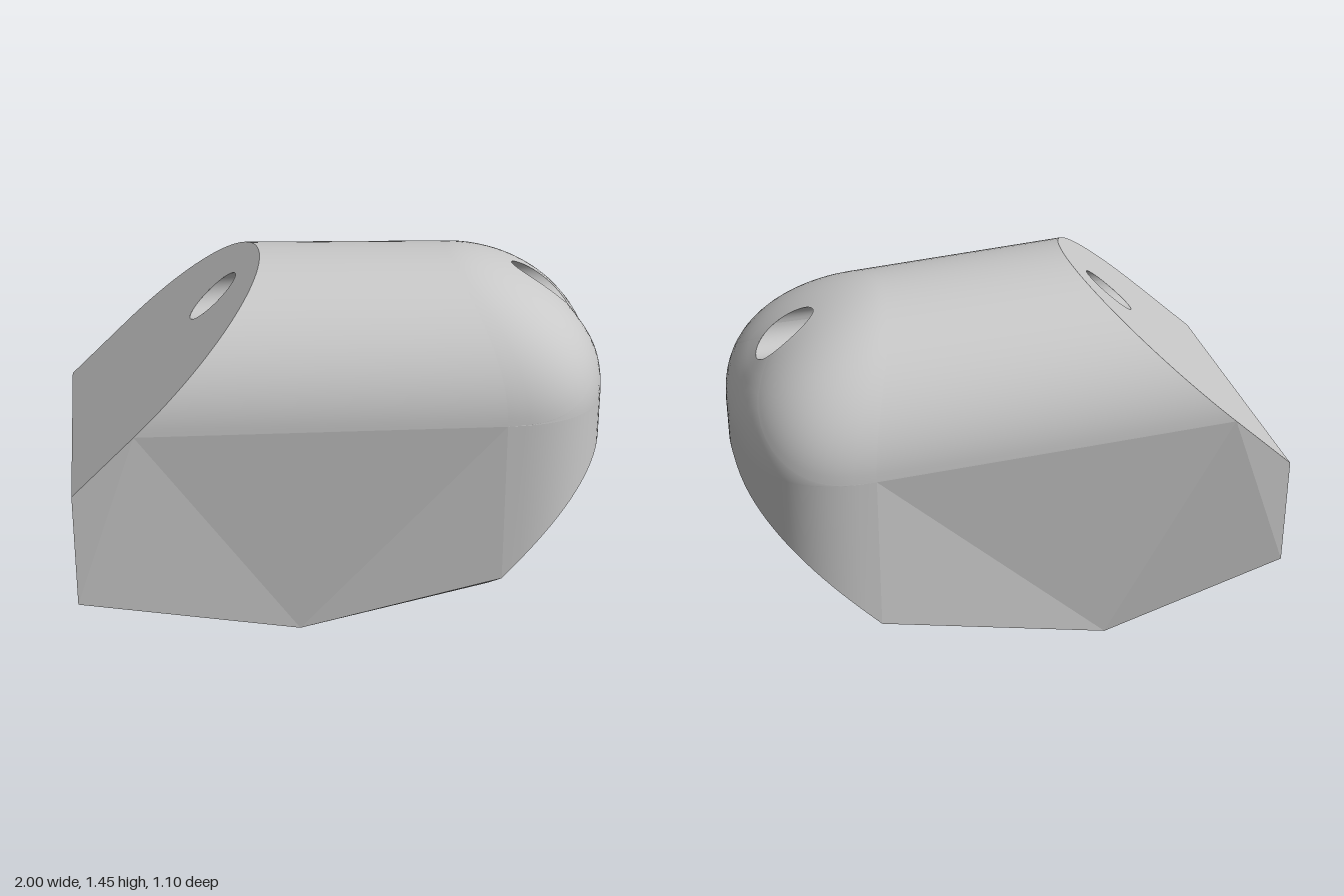
import * as THREE from 'three';

const ARCH = 48;
const SPRING = 0.94, HALF = 0.53, RISE = 0.49; // arch section where the nose begins
const BORES = [
  { name: 'upperBore', z: 0, y: 1.285, r: 0.083 },
  { name: 'leftBore', z: 0.292, y: 0.515, r: 0.172 },
  { name: 'rightBore', z: -0.292, y: 0.515, r: 0.172 },
];

// Cutting planes, x as a function of height
const slantX = y => -1 + (y - 0.76) * 1.043;
const chinX = y => 1 - (0.79 - y) * 0.904;
const chinY = x => 0.79 - (1 - x) / 0.904;

// Rounded nose: softer over the top, squarer around the sides
const noseStart = t => 0.57 - 0.15 * t;
function noseX(y, z) {
  const u = z / HALF, v = Math.max(0, (y - SPRING) / RISE);
  const r2 = u * u + v * v;
  const t = r2 > 0 ? v * v / r2 : 0;
  const p = 2.7 - 0.87 * t, s = Math.min(1, Math.sqrt(r2));
  const x0 = noseStart(t);
  return x0 + (1 - x0) * Math.pow(Math.max(0, 1 - Math.pow(s, p)), 1 / p);
}

// Ends of one lengthwise line of the arched roof
function archLine(a) {
  const c = Math.cos(a), s = Math.sin(a);
  const back = new THREE.Vector3(-1, 0.986 + 0.492 * s, 0.55 * c);
  const front = new THREE.Vector3(noseStart(s * s), SPRING + RISE * s, HALF * c);
  const f = p => p.x - slantX(p.y);
  const start = back.clone().lerp(front, f(back) / (f(back) - f(front)));
  return [start, front];
}

// Smooth surface through rows of points
function grid(rows) {
  const n = rows[0].length, index = [];
  for (let i = 0; i < rows.length - 1; i++) {
    for (let j = 0; j < n - 1; j++) {
      const a = i * n + j, c = a + n;
      index.push(a, a + 1, c, a + 1, c + 1, c);
    }
  }
  const g = new THREE.BufferGeometry().setFromPoints(rows.flat());
  g.setIndex(index);
  g.computeVertexNormals();
  return g;
}

// Flat panel drawn in (z, y), placed on the plane x = xOf(y)
function panel(outline, bores, xOf, facesFront) {
  const shape = new THREE.Shape(outline);
  for (const b of bores) {
    shape.holes.push(new THREE.Path().absarc(b.z, b.y, b.r, 0, Math.PI * 2, true));
  }
  const g = new THREE.ShapeGeometry(shape, 48);
  const pos = g.attributes.position;
  for (let i = 0; i < pos.count; i++) {
    const z = pos.getX(i), y = pos.getY(i);
    pos.setXYZ(i, xOf(y), y, z);
  }
  if (facesFront) g.index.array.reverse();
  g.computeVertexNormals();
  return g;
}

// Separate flat triangles
function facets(triangles) {
  const g = new THREE.BufferGeometry().setFromPoints(triangles.flat());
  g.computeVertexNormals();
  return g;
}

export function createModel() {
  const group = new THREE.Group();
  const grey = new THREE.MeshStandardMaterial({ color: 0xc8c8c8, side: THREE.DoubleSide });
  grey.name = 'light grey';
  const add = (name, geometry) => {
    const mesh = new THREE.Mesh(geometry, grey);
    mesh.name = name;
    group.add(mesh);
  };
  const V2 = (z, y) => new THREE.Vector2(z, y);
  const V3 = (x, y, z) => new THREE.Vector3(x, y, z);
  const [upper, ...lower] = BORES;

  // Arched roof
  const lines = [];
  for (let i = 0; i <= ARCH; i++) lines.push(archLine(Math.PI * i / ARCH));
  add('archedRoof', grid(lines));

  // Upper nose: rays from the small bore out to the arch and the spring line
  const rim = lines.map(l => V2(l[1].z, l[1].y));
  for (let i = 1; i <= ARCH; i++) rim.push(V2(-HALF * Math.cos(Math.PI * i / ARCH), SPRING));
  const K = 14;
  add('upperNose', grid(rim.map(p => {
    const a = Math.atan2(p.y - upper.y, p.x - upper.z);
    const inner = V2(upper.z + upper.r * Math.cos(a), upper.y + upper.r * Math.sin(a));
    const row = [];
    for (let k = 0; k <= K; k++) {
      const q = p.clone().lerp(inner, (k / K) ** 2);
      row.push(V3(noseX(q.y, q.x), q.y, q.x));
    }
    return row;
  })));

  // Lower nose: upright wall down to the sloping chin
  const wall = [];
  for (let i = 0; i <= ARCH; i++) {
    const z = HALF * Math.cos(Math.PI * i / ARCH), x = noseX(SPRING, z);
    wall.push([V3(x, SPRING, z), V3(x, chinY(x), z)]);
  }
  add('lowerNose', grid(wall));

  // Flat end panels with bore openings
  add('chinPanel', panel([...wall.map(w => V2(w[1].z, w[1].y)), V2(-0.48, 0.27), V2(0.48, 0.27)],
    lower, chinX, true));
  add('endPanel', panel([V2(-0.55, 0.32), V2(0.55, 0.32), V2(0.55, 0.76), V2(-0.55, 0.76)],
    lower, () => -1, false));
  add('slantedPanel', panel([V2(-0.55, 0.76), V2(0.55, 0.76), ...lines.map(l => V2(l[0].z, l[0].y))],
    [upper], slantX, false));

  // Bore linings
  for (const b of BORES) {
    const rows = [];
    for (let i = 0; i <= 48; i++) {
      const a = Math.PI * 2 * i / 48;
      const z = b.z + b.r * Math.cos(a), y = b.y + b.r * Math.sin(a);
      const small = b === upper;
      rows.push([V3(small ? noseX(y, z) : chinX(y), y, z), V3(small ? slantX(y) : -1, y, z)]);
    }
    add(b.name, grid(rows));
  }

  // Faceted sides, meeting the uneven keel corners
  const keel = { 1: V3(-0.18, 0.11, 0.46), [-1]: V3(-0.34, 0, -0.41) };
  for (const s of [1, -1]) {
    const [T, S] = lines[s > 0 ? 0 : ARCH];
    const L = V3(-1, 0.32, 0.55 * s), L2 = V3(-1, 0.76, 0.55 * s);
    const R = V3(0.57, chinY(0.57), HALF * s), Q = V3(0.53, 0.27, 0.48 * s), P = keel[s];
    const tris = [[L, T, L2], [L, P, T], [P, S, T], [P, R, S], [P, Q, R]];
    add(s > 0 ? 'leftSide' : 'rightSide', facets(s > 0 ? tris : tris.map(t => t.reverse())));
  }

  // Underside
  const La = V3(-1, 0.32, 0.55), Lb = V3(-1, 0.32, -0.55);
  const Qa = V3(0.53, 0.27, 0.48), Qb = V3(0.53, 0.27, -0.48);
  const Pa = keel[1], Pb = keel[-1];
  add('underside', facets([[La, Lb, Pb], [La, Pb, Pa], [Pa, Pb, Qb], [Pa, Qb, Qa]]));

  return group;
}
